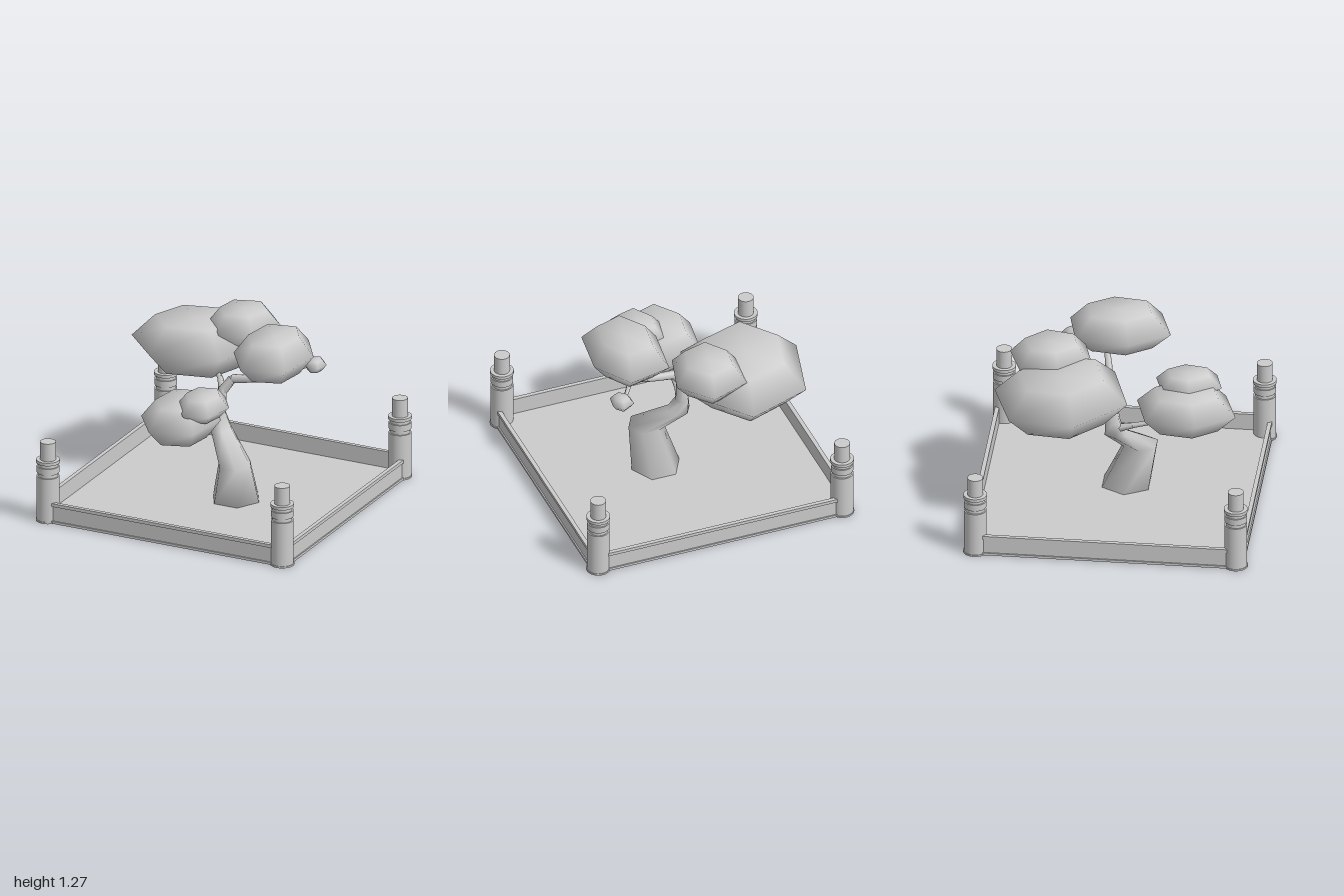
import * as THREE from 'three';

const material = new THREE.MeshStandardMaterial({ color: 0xcccccc });

function add(parent, geometry, name, x = 0, y = 0, z = 0) {
  const mesh = new THREE.Mesh(geometry, material);
  mesh.name = name;
  mesh.position.set(x, y, z);
  parent.add(mesh);
  return mesh;
}

// Smooth closed skin over rings of [x, y, z] points, listed bottom to top.
function loft(rings) {
  const n = rings[0].length;
  const pos = rings.flat(2);
  const index = [];
  for (let i = 0; i < rings.length - 1; i++) {
    for (let j = 0; j < n; j++) {
      const a = i * n + j, b = i * n + (j + 1) % n;
      index.push(a, a + n, b, b, a + n, b + n);
    }
  }
  const last = (rings.length - 1) * n;
  for (const [start, top] of [[0, false], [last, true]]) {
    const ring = rings[start / n];
    const centre = pos.length / 3;
    pos.push(...[0, 1, 2].map(k => ring.reduce((s, p) => s + p[k], 0) / n));
    for (let j = 0; j < n; j++) {
      const a = start + j, b = start + (j + 1) % n;
      if (top) index.push(a, centre, b);
      else index.push(a, b, centre);
    }
  }
  const geometry = new THREE.BufferGeometry();
  geometry.setAttribute('position', new THREE.Float32BufferAttribute(pos, 3));
  geometry.setIndex(index);
  geometry.computeVertexNormals();
  return geometry;
}

// Flattened leaf clump: plan outline at mid height, drawn in at top and bottom.
// tilt is the rise per unit of z.
function foliage(outline, low, mid, high, tilt = 0) {
  const cx = outline.reduce((s, p) => s + p[0], 0) / outline.length;
  const cz = outline.reduce((s, p) => s + p[1], 0) / outline.length;
  return loft([[low, 0.64], [mid, 1], [high, 0.64]].map(([y, k]) =>
    outline.map(([x, z]) => [
      cx + (x - cx) * k,
      y + (z - cz) * k * tilt,
      cz + (z - cz) * k,
    ])));
}

// Tapered limb through points [x, y, z, radius].
function limb(parent, name, points) {
  const group = new THREE.Group();
  group.name = name;
  for (let i = 0; i < points.length - 1; i++) {
    const a = new THREE.Vector3(...points[i].slice(0, 3));
    const b = new THREE.Vector3(...points[i + 1].slice(0, 3));
    const dir = b.clone().sub(a);
    const mesh = add(group,
      new THREE.CylinderGeometry(points[i + 1][3], points[i][3], dir.length(), 6), name + 'Segment');
    mesh.position.copy(a).add(b).multiplyScalar(0.5);
    mesh.quaternion.setFromUnitVectors(new THREE.Vector3(0, 1, 0), dir.normalize());
  }
  parent.add(group);
}

function createBase() {
  const base = new THREE.Group();
  base.name = 'base';
  add(base, new THREE.BoxGeometry(1.92, 0.028, 1.92), 'floor', 0, 0.016, 0);

  // Four walls with a foot rail and a top rail
  for (let i = 0; i < 4; i++) {
    const side = new THREE.Group();
    side.name = 'wall';
    side.rotation.y = i * Math.PI / 2;
    add(side, new THREE.BoxGeometry(1.83, 0.13, 0.02), 'wallPanel', 0, 0.07, 0.953);
    add(side, new THREE.BoxGeometry(1.83, 0.018, 0.03), 'footRail', 0, 0.011, 0.957);
    add(side, new THREE.BoxGeometry(1.83, 0.024, 0.03), 'topRail', 0, 0.141, 0.957);
    base.add(side);
  }

  // Corner posts: stacked cylinders of [radius, bottom, top]
  const steps = [
    [0.085, 0, 0.012], [0.08, 0.012, 0.335], [0.07, 0.335, 0.362],
    [0.079, 0.362, 0.41], [0.07, 0.41, 0.435], [0.083, 0.435, 0.458],
    [0.055, 0.458, 0.59],
  ];
  for (const x of [-0.915, 0.915]) {
    for (const z of [-0.915, 0.915]) {
      const post = new THREE.Group();
      post.name = 'cornerPost';
      post.position.set(x, 0, z);
      for (const [r, y0, y1] of steps) {
        add(post, new THREE.CylinderGeometry(r, r, y1 - y0, 32), 'postSection', 0, (y0 + y1) / 2, 0);
      }
      base.add(post);
    }
  }
  return base;
}

function createTree() {
  const tree = new THREE.Group();
  tree.name = 'tree';

  // Crooked trunk: [x, y, z, radiusX, radiusZ]
  const trunk = [
    [0.11, 0.02, 0.03, 0.18, 0.19],
    [0.15, 0.33, 0.13, 0.125, 0.13],
    [-0.035, 0.51, -0.025, 0.085, 0.085],
    [-0.06, 0.61, -0.045, 0.05, 0.06],
    [-0.04, 0.8, -0.06, 0.034, 0.036],
  ];
  add(tree, loft(trunk.map(([x, y, z, rx, rz]) =>
    Array.from({ length: 6 }, (_, i) => {
      const t = i * Math.PI / 3;
      return [x + rx * Math.cos(t), y, z + rz * Math.sin(t)];
    }))), 'trunk');

  limb(tree, 'frontBranch', [
    [-0.06, 0.56, -0.02, 0.035], [-0.08, 0.6, 0.1, 0.022], [-0.09, 0.66, 0.32, 0.015]]);
  limb(tree, 'rightBranch', [
    [-0.04, 0.78, -0.06, 0.036], [0.02, 0.87, -0.09, 0.032], [0.2, 0.895, -0.1, 0.026],
    [0.36, 0.945, -0.13, 0.02], [0.5, 0.965, -0.36, 0.012]]);
  limb(tree, 'rightSpur', [[0.34, 0.94, -0.12, 0.022], [0.38, 1.05, -0.06, 0.016]]);
  limb(tree, 'backBranch', [
    [-0.04, 0.78, -0.06, 0.03], [-0.12, 0.82, -0.18, 0.02], [-0.3, 0.88, -0.35, 0.015]]);

  // Leaf clumps
  add(tree, foliage([[-0.84, -0.235], [-0.73, -0.7], [-0.28, -0.85],
    [0.04, -0.5], [-0.05, -0.03], [-0.53, 0.11]], 0.8, 0.98, 1.15, 0.08), 'largeFoliage');
  add(tree, foliage([[-0.3, -0.67], [-0.02, -0.77], [0.18, -0.55],
    [0.1, -0.25], [-0.16, -0.18], [-0.33, -0.4]], 1.0, 1.12, 1.24, 0.03), 'backFoliage');
  add(tree, foliage([[0.15, -0.33], [0.46, -0.4], [0.635, -0.13],
    [0.59, 0.23], [0.29, 0.325], [0.1, 0.05]], 1.0, 1.13, 1.27), 'leftFoliage');
  add(tree, foliage([[-0.31, 0.21], [0, 0.12], [0.175, 0.4],
    [0.13, 0.73], [-0.17, 0.83], [-0.36, 0.57]], 0.625, 0.76, 0.89), 'frontFoliage');
  add(tree, foliage([[-0.07, 0.3], [0.13, 0.24], [0.25, 0.42],
    [0.21, 0.66], [0.03, 0.71], [-0.11, 0.5]], 0.8, 0.875, 0.96), 'smallFrontFoliage');
  add(tree, foliage([[0.45, -0.42], [0.54, -0.47], [0.6, -0.4],
    [0.585, -0.3], [0.52, -0.275], [0.45, -0.34]], 0.925, 0.965, 1.005), 'tinyFoliage');
  return tree;
}

export function createModel() {
  const model = new THREE.Group();
  model.name = 'plantedTree';
  model.add(createBase(), createTree());
  return model;
}
